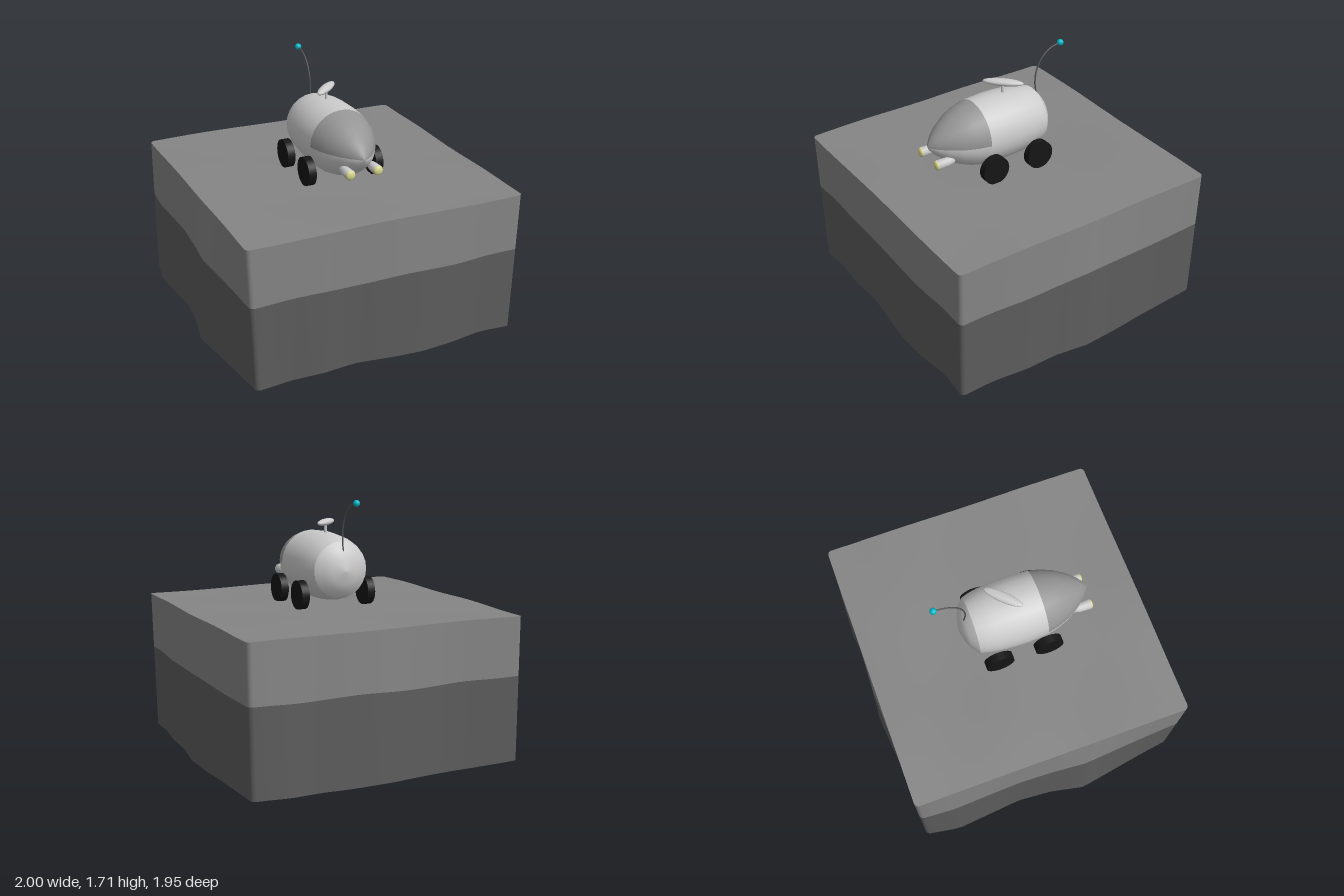
import * as THREE from 'three';

const CX = 0.0175, CZ = 0.0075, HALF = 0.9475, CORNER = 0.03;
const CAR_X = 0.018, AXIS_Y = 1.235;

const mat = (color, side = THREE.FrontSide) => new THREE.MeshStandardMaterial({ color, side });

function add(parent, name, geometry, material, x = 0, y = 0, z = 0) {
  const mesh = new THREE.Mesh(geometry, material);
  mesh.name = name;
  mesh.position.set(x, y, z);
  parent.add(mesh);
  return mesh;
}

// Outward bulge of the ragged foot along each side, sampled at nine even steps
const BULGE = {
  left: [0.0, 0.04, 0.02, 0, 0.02, 0.07, 0.03, -0.01, -0.045],
  right: [-0.02, -0.01, 0, 0.02, 0.033, 0.005, 0.008, -0.02, -0.02],
  back: [-0.01, -0.02, -0.01, 0.02, 0.038, 0.02, 0, 0.025, 0],
  front: [0, -0.02, 0, -0.02, 0, 0.018, 0.012, -0.02, -0.01],
};

function bulge(side, t) {
  const f = THREE.MathUtils.clamp((t + 1) * 4, 0, 7.999), i = Math.floor(f);
  return THREE.MathUtils.lerp(BULGE[side][i], BULGE[side][i + 1], f - i);
}

// Rounded square outline, running from +x towards +z
function outline() {
  const points = [], flat = HALF - CORNER;
  for (let k = 0; k < 4; k++) {
    const c = Math.round(Math.cos(k * Math.PI / 2)), s = Math.round(Math.sin(k * Math.PI / 2));
    const put = (u, v) => points.push([c * u - s * v, s * u + c * v]);
    for (let i = 0; i < 32; i++) put(HALF, THREE.MathUtils.lerp(-flat, flat, i / 32));
    for (let i = 0; i < 4; i++) {
      const a = i / 4 * Math.PI / 2;
      put(flat + CORNER * Math.cos(a), flat + CORNER * Math.sin(a));
    }
  }
  return points;
}

// Gentle unevenness of the ground
const groundY = (x, z) => 0.973 + 0.003 * Math.sin(5 * x + 2 * z) + 0.003 * Math.sin(7 * z - 3 * x + 1);

// Outline pushed out by a share of the foot bulge, at a height given by a rule
function ring(points, push, height) {
  return points.map(([x, z]) => {
    const u = x / HALF, v = z / HALF, mix = THREE.MathUtils.lerp;
    const dx = mix(-bulge('left', v), bulge('right', v), (u + 1) / 2);
    const dz = mix(-bulge('back', u), bulge('front', u), (v + 1) / 2);
    return [CX + x + push * dx, height(x, z), CZ + z + push * dz];
  });
}

// Surface through closed rings of equal length
function skin(rings) {
  const n = rings[0].length, index = [];
  for (let j = 0; j < rings.length - 1; j++) {
    for (let i = 0; i < n; i++) {
      const a = j * n + i, b = j * n + (i + 1) % n;
      index.push(a, a + n, b, b, a + n, b + n);
    }
  }
  const geometry = new THREE.BufferGeometry();
  geometry.setAttribute('position', new THREE.Float32BufferAttribute(rings.flat(2), 3));
  geometry.setIndex(index);
  geometry.computeVertexNormals();
  return geometry;
}

function createGround() {
  const ground = new THREE.Group();
  ground.name = 'groundBlock';
  const soil = mat(0x858585, THREE.DoubleSide), rock = mat(0x5c5c5c, THREE.DoubleSide);
  const edge = outline();
  const foot = ring(edge, 1, (x, z) => 0.006 + 0.006 * Math.sin(6 * x + 4 * z));
  const seam = ring(edge, 0.4, (x, z) => 0.582 + 0.004 * Math.sin(9 * x + 7 * z));
  const rim = ring(edge, 0, groundY);
  add(ground, 'lowerLayer', skin([foot, seam]), rock);
  add(ground, 'upperLayer', skin([seam, rim]), soil);

  // Top surface, closing in ring by ring
  const rings = [];
  for (let j = 0; j <= 12; j++) {
    const s = 1 - j / 12;
    rings.push(ring(edge.map(([x, z]) => [x * s, z * s]), 0, groundY));
  }
  add(ground, 'topSurface', skin(rings), soil);
  return ground;
}

// Profile of [z, radius] turned around the car's long axis
function hull(profile, segments, start = 0, length = Math.PI * 2) {
  const points = profile.map(([z, r]) => new THREE.Vector2(r, z));
  return new THREE.LatheGeometry(points, segments, start, length).rotateX(Math.PI / 2);
}

function createCar() {
  const car = new THREE.Group();
  car.name = 'car';
  car.position.x = CAR_X;
  const grey = mat(0xcccccc), black = mat(0x151515), cream = mat(0xd8d890), cyan = mat(0x00b8c8);

  // Body: tail cap, barrel, lower nose and windshield
  const tail = [[-0.305, 0], [-0.3, 0.03], [-0.285, 0.09], [-0.262, 0.14], [-0.22, 0.19]];
  const barrel = [[-0.22, 0.19], [-0.17, 0.205], [-0.1, 0.217], [0, 0.225], [0.1, 0.228], [0.24, 0.221]];
  const nose = [[0.24, 0.221], [0.32, 0.202], [0.4, 0.17], [0.48, 0.121], [0.54, 0.07], [0.575, 0.028], [0.588, 0]];
  add(car, 'tailCap', hull(tail, 24), grey, 0, AXIS_Y);
  add(car, 'barrel', hull(barrel, 24), grey, 0, AXIS_Y);
  add(car, 'lowerNose', hull(nose, 12, -Math.PI / 2, Math.PI), grey, 0, AXIS_Y);
  add(car, 'windshield', hull(nose, 12, Math.PI / 2, Math.PI), mat(0x959595), 0, AXIS_Y);

  // Wheels and headlights, mirrored
  const wheel = new THREE.CylinderGeometry(0.096, 0.096, 0.053, 32).rotateZ(Math.PI / 2);
  const housing = hull([[0.44, 0], [0.46, 0.022], [0.5, 0.031], [0.58, 0.034], [0.58, 0]], 16);
  const lens = new THREE.SphereGeometry(0.032, 16, 12).scale(1, 1, 0.5);
  for (const [side, s] of [['left', 1], ['right', -1]]) {
    add(car, side + 'FrontWheel', wheel, black, s * 0.241, 1.07, 0.235);
    add(car, side + 'RearWheel', wheel, black, s * 0.241, 1.07, -0.11);
    add(car, side + 'Headlight', housing, grey, s * 0.097, 1.147, 0);
    add(car, side + 'Lens', lens, cream, s * 0.097, 1.147, 0.582);
  }

  // Roof dish on its post
  add(car, 'dishPost', new THREE.CylinderGeometry(0.009, 0.009, 0.09, 10), grey, 0, 1.485, 0.01);
  const dish = add(car, 'dish', new THREE.SphereGeometry(1, 24, 12).scale(0.137, 0.023, 0.035), grey, 0, 1.53, 0.005);
  dish.rotation.y = Math.PI / 4;

  // Curved tail antenna with its ball
  const path = new THREE.CatmullRomCurve3([
    [1.35, -0.265], [1.45, -0.25], [1.54, -0.262], [1.62, -0.305], [1.67, -0.37], [1.69, -0.45],
  ].map(([y, z]) => new THREE.Vector3(0, y, z)));
  add(car, 'antenna', new THREE.TubeGeometry(path, 32, 0.005, 8), mat(0x555555));
  add(car, 'antennaBall', new THREE.SphereGeometry(0.022, 16, 12), cyan, 0, 1.69, -0.45);
  return car;
}

export function createModel() {
  const model = new THREE.Group();
  model.name = 'carOnGround';
  model.add(createGround(), createCar());
  return model;
}
